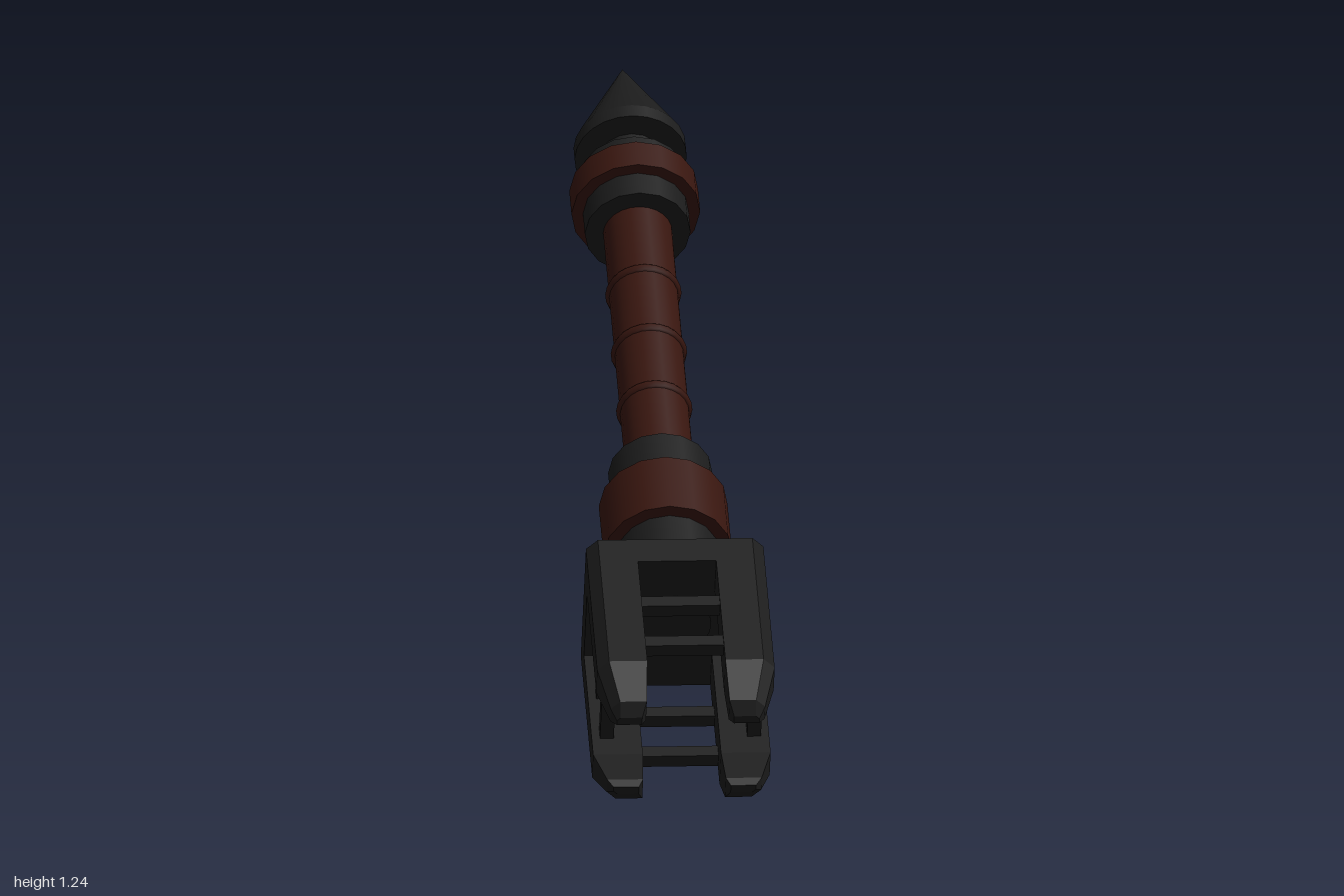
import * as THREE from 'three';

const dark = new THREE.MeshStandardMaterial({ color: 0x1c1c1c });
const brown = new THREE.MeshStandardMaterial({ color: 0x38160f });

// Flat-shaded solid through matching cross-sections [{ y, loop: [[x, z], ...] }], listed downwards
function loft(sections) {
  const n = sections[0].loop.length;
  const last = sections.length - 1;
  const pos = [], index = [];
  for (const { y, loop } of sections) for (const [x, z] of loop) pos.push(x, y, z);
  for (let i = 0; i < last; i++) {
    for (let j = 0; j < n; j++) {
      const a = i * n + j, b = i * n + (j + 1) % n;
      index.push(a, b, b + n, a, b + n, a + n);
    }
  }
  for (let j = 1; j < n - 1; j++) {
    index.push(0, j + 1, j, last * n, last * n + j, last * n + j + 1);
  }
  const geo = new THREE.BufferGeometry();
  geo.setAttribute('position', new THREE.Float32BufferAttribute(pos, 3));
  geo.setIndex(index);
  const flat = geo.toNonIndexed();
  flat.computeVertexNormals();
  return flat;
}

// Rectangle with cut corners
function chamferedRect(h, k, c) {
  return [[h, -k + c], [h, k - c], [h - c, k], [-h + c, k],
    [-h, k - c], [-h, -k + c], [-h + c, -k], [h - c, -k]];
}

export function createModel() {
  const model = new THREE.Group();
  model.name = 'handheldTool';
  // The tool is built along y, then leaned back
  const tool = new THREE.Group();
  tool.name = 'tool';
  tool.rotation.x = -Math.PI / 3;
  tool.position.set(0, 0.511, 0.295);
  model.add(tool);

  const add = (name, geo, mat, x = 0, y = 0, z = 0) => {
    const mesh = new THREE.Mesh(geo, mat);
    mesh.name = name;
    mesh.position.set(x, y, z);
    tool.add(mesh);
    return mesh;
  };
  const rod = (name, y0, y1, r, mat, sides = 16) =>
    add(name, new THREE.CylinderGeometry(r, r, y1 - y0, sides), mat, 0, (y0 + y1) / 2);

  // Shaft and its ridges
  rod('shaft', 0.1, 1.0, 0.075, brown, 24);
  for (const y of [0.373, 0.56, 0.754]) {
    const ridge = add('shaftRidge', new THREE.TorusGeometry(0.072, 0.011, 8, 24), brown, 0, y);
    ridge.rotation.x = Math.PI / 2;
  }

  // Lower collar
  rod('lowerSleeve', -0.22, 0.17, 0.113, dark);
  rod('lowerBand', -0.1, 0.062, 0.14, brown);

  // Upper collar, neck and pointed end
  rod('upperSleeve', 0.955, 1.14, 0.115, dark);
  rod('upperBand', 1.02, 1.095, 0.14, brown);
  rod('neck', 1.13, 1.21, 0.07, dark);
  rod('spikeBase', 1.2, 1.235, 0.122, dark, 24);
  add('spike', new THREE.ConeGeometry(0.122, 0.255, 24), dark, 0, 1.3625);

  // Claw hub with a sloped back and a round socket in its open face
  add('clawHub', loft([
    { y: -0.203, loop: chamferedRect(0.135, 0.12, 0.025) },
    { y: -0.253, loop: chamferedRect(0.193, 0.18, 0.025) },
    { y: -0.325, loop: chamferedRect(0.193, 0.18, 0.025) },
  ]), dark);
  rod('socket', -0.332, -0.32, 0.08, dark, 24);

  // Four corner fingers, tapering at the tips: [y, outer x, outer z, inner x, inner z, corner cut]
  const stations = [
    [-0.3, 0.193, 0.18, 0.085, 0.09, 0.025],
    [-0.65, 0.193, 0.18, 0.085, 0.09, 0.025],
    [-0.738, 0.168, 0.14, 0.09, 0.085, 0.02],
    [-0.757, 0.155, 0.11, 0.1, 0.09, 0.008],
  ];
  for (const sx of [-1, 1]) {
    for (const sz of [-1, 1]) {
      const sections = stations.map(([y, u1, v1, u0, v0, c]) => {
        const loop = [[u0, v0], [u1, v0], [u1, v1 - c], [u1 - c, v1], [u0, v1]]
          .map(([u, v]) => [u * sx, v * sz]);
        return { y, loop: sx * sz < 0 ? loop.reverse() : loop };
      });
      add('finger', loft(sections), dark);
    }
  }

  // Cross bars tying neighbouring fingers on all four sides
  for (const y of [-0.45, -0.58]) {
    for (const s of [-1, 1]) {
      add('crossBar', new THREE.BoxGeometry(0.2, 0.032, 0.03), dark, 0, y, s * 0.16);
      add('sideBar', new THREE.BoxGeometry(0.03, 0.034, 0.21), dark, s * 0.16, y, 0);
    }
  }
  return model;
}
